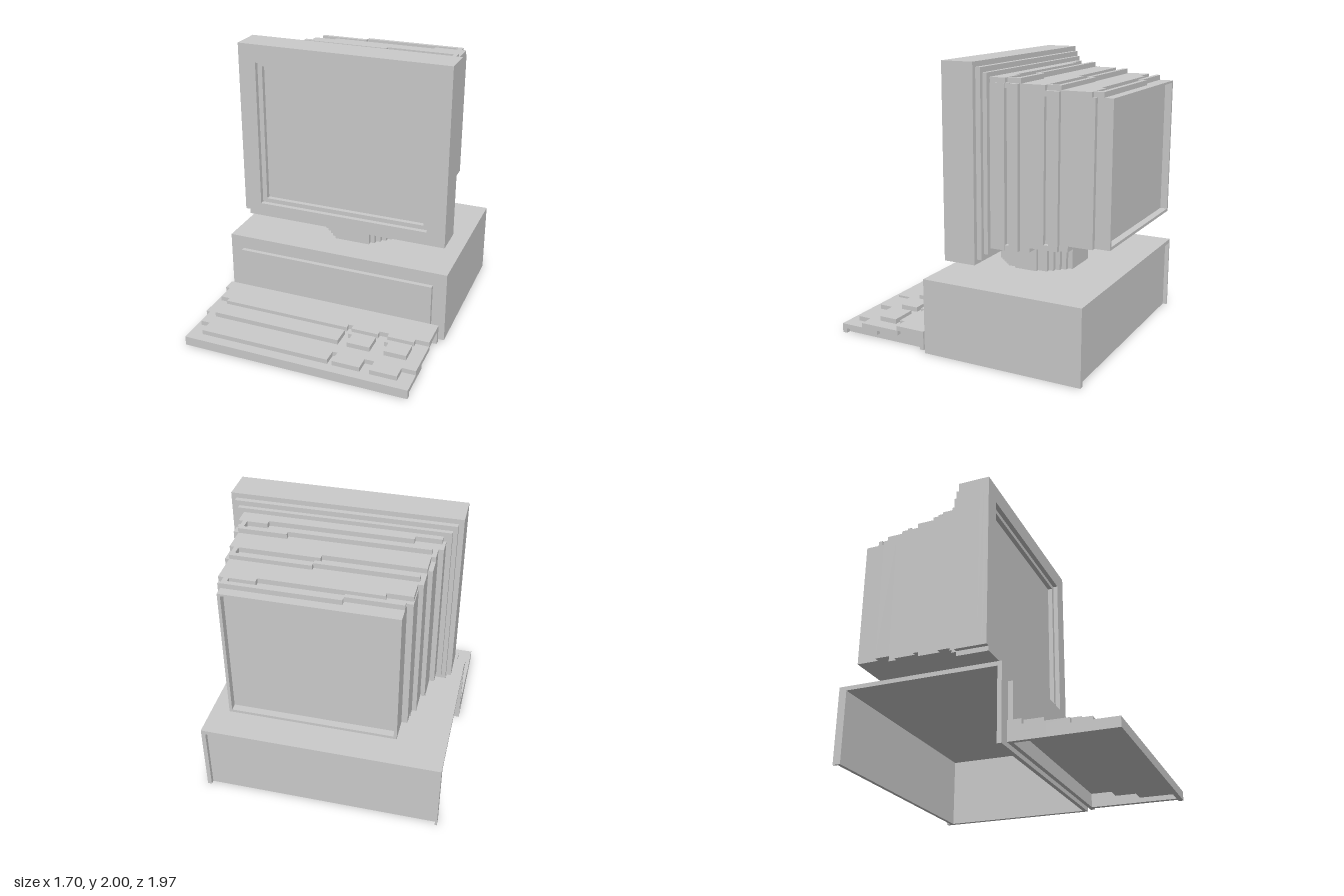
import * as THREE from 'three';

const U = 0.035; // step size of the blocky style
const material = new THREE.MeshStandardMaterial({ color: 0xcccccc, flatShading: true, side: THREE.DoubleSide });

function add(parent, name, geometry) {
  const mesh = new THREE.Mesh(geometry, material);
  mesh.name = name;
  parent.add(mesh);
  return mesh;
}

// Box given by its limits on each axis
function box(parent, name, x0, x1, y0, y1, z0, z1) {
  const g = new THREE.BoxGeometry(x1 - x0, y1 - y0, Math.abs(z1 - z0));
  g.translate((x0 + x1) / 2, (y0 + y1) / 2, (z0 + z1) / 2);
  return add(parent, name, g);
}

const rect = (x0, x1, y0, y1) => [[x0, y0], [x1, y0], [x1, y1], [x0, y1]];

// Upright plate, optionally with a hole, between two depths
function plate(parent, name, outline, hole, z0, z1) {
  const vec = (pts) => pts.map(([x, y]) => new THREE.Vector2(x, y));
  const shape = new THREE.Shape(vec(outline));
  if (hole) shape.holes.push(new THREE.Path(vec(hole)));
  const g = new THREE.ExtrudeGeometry(shape, { depth: z1 - z0, bevelEnabled: false });
  g.translate(0, 0, z0);
  return add(parent, name, g);
}

function group(parent, name) {
  const g = new THREE.Group();
  g.name = name;
  parent.add(g);
  return g;
}

function buildMonitor(parent) {
  const m = group(parent, 'monitor');

  // Bezel with a two-step recess around the screen
  const outline = [[-0.75, 0.67], [0.785, 0.67], [0.785, 2], [-0.785, 2], [-0.785, 0.705], [-0.75, 0.705]];
  plate(m, 'bezelFront', outline, rect(-0.655, 0.65, 0.77, 1.868), 0.08, 0.115);
  plate(m, 'bezelInner', outline, rect(-0.62, 0.615, 0.802, 1.836), 0.045, 0.08);
  plate(m, 'screen', outline, null, -0.115, 0.045);

  // Tapering housing: front z, back z, x limits, y limits
  const slabs = [
    [-0.115, -0.15, -0.75, 0.75, 0.70, 1.965],
    [-0.15, -0.18, -0.72, 0.72, 0.735, 1.93],
    [-0.18, -0.285, -0.685, 0.685, 0.77, 1.865],
    [-0.285, -0.315, -0.65, 0.65, 0.77, 1.865],
    [-0.315, -0.38, -0.65, 0.685, 0.77, 1.865],
    [-0.38, -0.45, -0.65, 0.65, 0.77, 1.83],
    [-0.45, -0.49, -0.65, 0.65, 0.80, 1.83],
    [-0.49, -0.55, -0.62, 0.65, 0.80, 1.83],
    [-0.55, -0.585, -0.62, 0.62, 0.80, 1.83],
    [-0.585, -0.65, -0.62, 0.65, 0.80, 1.83],
    [-0.65, -0.71, -0.59, 0.62, 0.80, 1.80],
    [-0.71, -0.82, -0.59, 0.62, 0.84, 1.80],
    [-0.82, -0.88, -0.55, 0.62, 0.84, 1.80],
    [-0.88, -0.935, -0.55, 0.585, 0.84, 1.80],
  ];
  for (const [zf, zb, x0, x1, y0, y1] of slabs) box(m, 'housing', x0, x1, y0, y1, zb, zf);

  // Top layers, each with a slightly slanting vent groove
  const layers = [
    { y: 1.90, z: -0.18, front: [[-0.665, -0.49, -0.22], [-0.49, 0.48, -0.255], [0.48, 0.68, -0.29]],
      rib: [[-0.62, 0.32, -0.325], [0.32, 0.65, -0.355]], end: [0.62, 0.65, -0.385] },
    { y: 1.865, z: -0.38, front: [[-0.62, 0.05, -0.52], [0.05, 0.65, -0.555]],
      rib: [[-0.59, 0.08, -0.59], [0.08, 0.62, -0.62]], end: [0.59, 0.62, -0.65] },
    { y: 1.835, z: -0.65, front: [[-0.585, -0.42, -0.79], [-0.42, 0.38, -0.82], [0.38, 0.62, -0.855]],
      rib: [[-0.55, -0.18, -0.855], [-0.18, 0.585, -0.89]], end: [0.55, 0.585, -0.92] },
  ];
  for (const { y, z, front, rib, end } of layers) {
    for (const [x0, x1, zb] of front) box(m, 'topLayer', x0, x1, y - U, y, zb, z);
    for (const [x0, x1, zf] of rib) box(m, 'topRib', x0, x1, y - U, y, zf - 0.032, zf);
    box(m, 'grooveEnd', end[0], end[1], y - U, y, end[2], z - 0.08);
  }

  // Side grooves stop short of the top and bottom
  for (const [x, z, y0, y1] of [[0.65, -0.3, 0.77, 1.87], [0.62, -0.567, 0.80, 1.83]]) {
    box(m, 'sideGrooveEnd', x, x + 0.03, y0, y0 + U, z - 0.018, z + 0.018);
    box(m, 'sideGrooveEnd', x, x + 0.03, y1 - U, y1, z - 0.018, z + 0.018);
  }

  // Rim around the recessed back
  plate(m, 'backRim', rect(-0.55, 0.585, 0.84, 1.80), rect(-0.53, 0.565, 0.86, 1.785), -0.985, -0.935);
}

function buildNeck(parent) {
  // Round stand made of stepped rows
  const neck = group(parent, 'neck');
  const rows = 17, r = 0.295, cx = 0.047, cz = -0.265, d = (2 * r - 0.02) / rows;
  for (let i = 0; i < rows; i++) {
    const t = (i - (rows - 1) / 2) * d;
    const half = Math.max(1, Math.round(Math.sqrt(r * r - t * t) / d)) * d;
    const w = Math.min(half, r);
    box(neck, 'neckRow', cx - w, cx + w, 0.53, cz + t > -0.11 ? 0.672 : 0.705, cz + t - d / 2, cz + t + d / 2);
  }
}

function buildCase(parent) {
  // Thin shell, open underneath and on one end
  const c = group(parent, 'case');
  const t = 0.03;
  box(c, 'caseTop', -0.85, 0.85, 0.535 - t, 0.535, -0.915, 0.25);
  box(c, 'caseSide', 0.85 - t, 0.85, 0, 0.535, -0.915, 0.25);
  box(c, 'caseBack', -0.85, 0.85, 0, 0.535, -0.885, -0.86);
  box(c, 'caseBackLip', -0.85, -0.835, 0, 0.535, -0.915, -0.885);
  plate(c, 'caseFront', rect(-0.85, 0.85, 0, 0.535), rect(-0.72, 0.72, 0.135, 0.40), 0.22, 0.25);
  box(c, 'frontPanel', -0.75, 0.75, 0.10, 0.435, 0.25, 0.283);
}

function buildKeyboard(parent) {
  // Hollow stepped tray
  const k = group(parent, 'keyboard');
  const L = -0.82, R = 0.815;
  box(k, 'frontLip', -0.85, R, 0, 0.068, 0.95, 0.985);
  box(k, 'frontDeck', -0.85, R, 0.035, 0.068, 0.68, 0.985);
  box(k, 'middleDeck', L, R, 0.068, 0.102, 0.5, 0.81);
  box(k, 'middleDeckEnd', -0.85, L, 0.068, 0.102, 0.38, 0.68);
  box(k, 'rearDeck', L, R, 0.102, 0.137, 0.285, 0.51);
  box(k, 'rearDeckEnd', -0.85, L, 0.102, 0.137, 0.285, 0.38);
  box(k, 'backWall', -0.85, R, 0, 0.137, 0.285, 0.315);
  // End walls follow the slope in three heights
  for (const [x0, x1] of [[-0.85, L], [R - 2 * U, R - U]]) {
    box(k, 'endWall', x0, x1, 0, 0.102, 0.3, 0.53);
    box(k, 'endWall', x0, x1, 0, 0.068, 0.53, 0.82);
    box(k, 'endWall', x0, x1, 0, 0.036, 0.82, 0.96);
  }

  // Key blocks in three groups
  [[-0.75, 0.215], [0.25, 0.45], [0.52, 0.715]].forEach(([x0, x1], i) => {
    const inset = i ? 0.033 : 0;
    box(k, 'frontKeys', x0, x1, 0.068, 0.102, 0.8, 0.912);
    box(k, 'middleKeys', x0 + inset, x1, 0.102, 0.137, 0.585, 0.72);
    if (i) box(k, 'middleKeysCorner', x0, x0 + inset, 0.102, 0.137, 0.585, 0.617);
    box(k, 'rearKeys', x0, x1, 0.102, 0.137, 0.5, 0.548);
  });
}

export function createModel() {
  const model = new THREE.Group();
  model.name = 'desktopComputer';
  buildMonitor(model);
  buildNeck(model);
  buildCase(model);
  buildKeyboard(model);
  return model;
}
